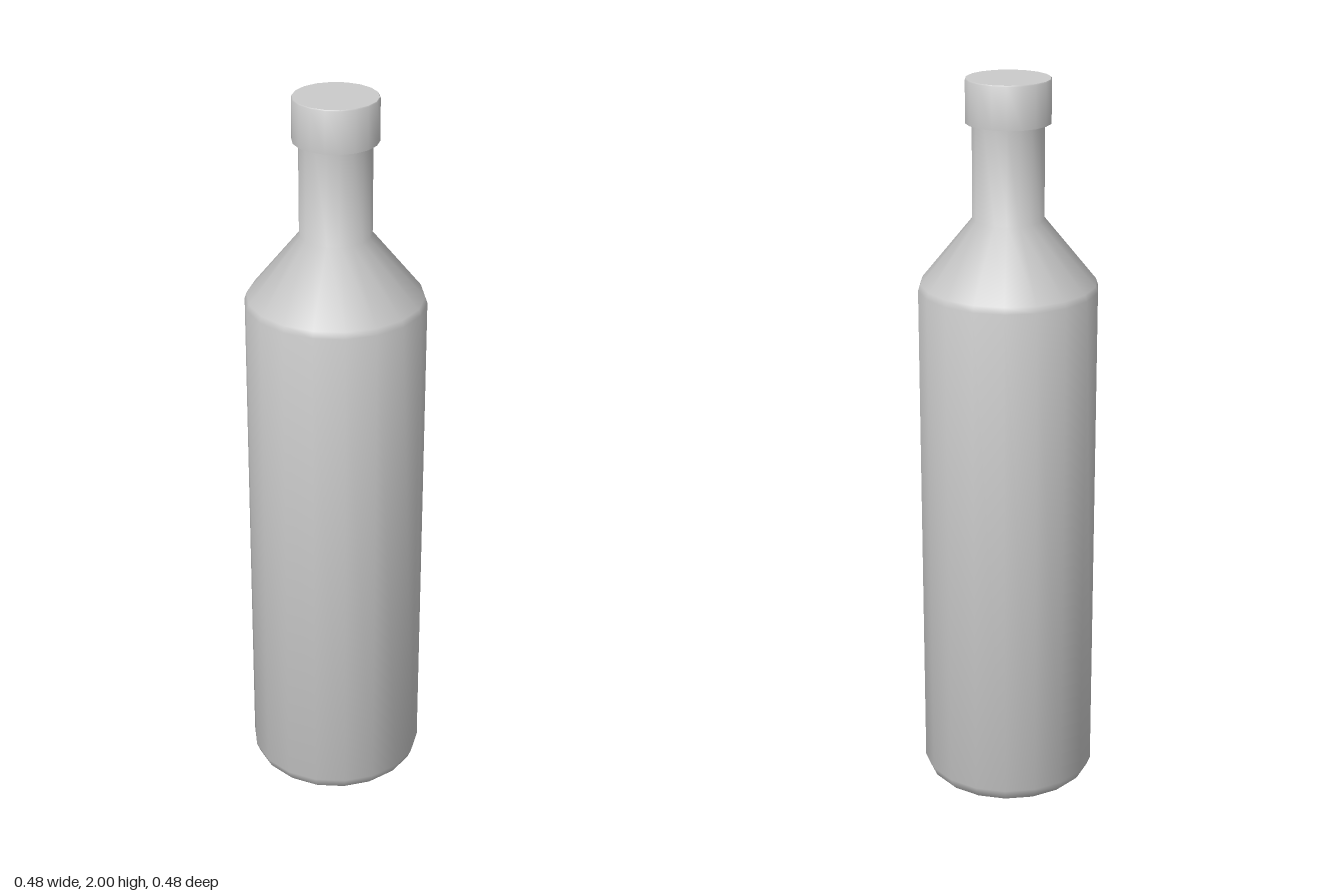
import * as THREE from 'three';
import { toCreasedNormals } from 'three/addons/utils/BufferGeometryUtils.js';

const SIDES = 18;

// Revolve a [radius, height] profile, listed bottom to top, keeping hard edges sharp
function turned(name, profile, material) {
  const points = profile.map(([r, y]) => new THREE.Vector2(r, y));
  const geometry = toCreasedNormals(new THREE.LatheGeometry(points, SIDES), 0.75);
  const mesh = new THREE.Mesh(geometry, material);
  mesh.name = name;
  return mesh;
}

export function createModel() {
  const group = new THREE.Group();
  group.name = 'bottle';
  const material = new THREE.MeshStandardMaterial({ color: 0xcccccc });

  // Base, straight body, sloping shoulder and neck
  group.add(turned('bottleBody', [
    [0, 0], [0.222, 0], [0.232, 0.01], [0.242, 0.035],
    [0.242, 1.44], [0.236, 1.457],
    [0.096, 1.63], [0.096, 1.9],
  ], material));

  // Closed cap, slightly wider than the neck
  group.add(turned('cap', [
    [0, 1.885], [0.113, 1.885], [0.113, 1.997], [0.111, 2], [0, 2],
  ], material));

  return group;
}
